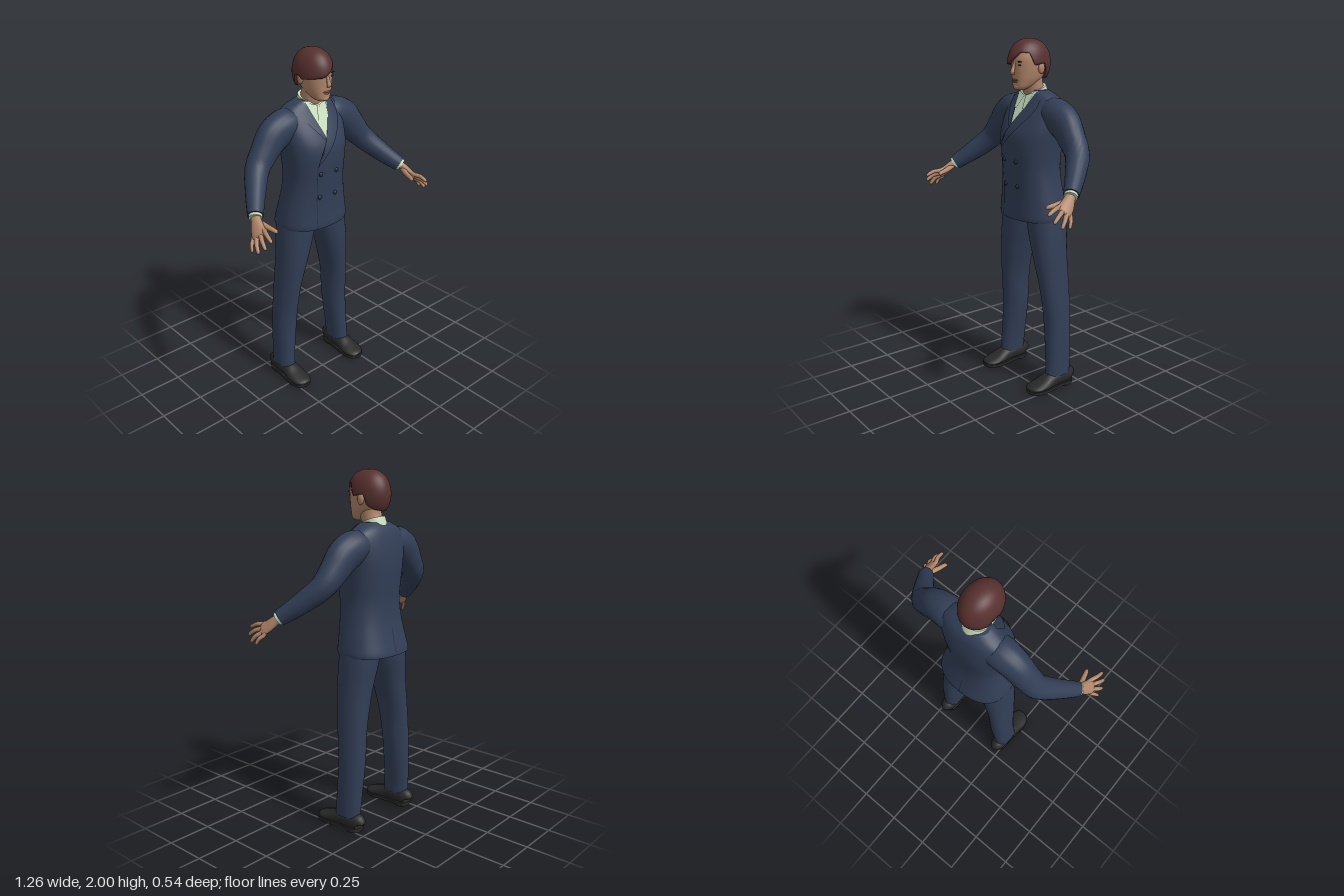
import * as THREE from 'three';

const mat = (name, color, side = THREE.FrontSide) => {
  const m = new THREE.MeshStandardMaterial({ color, side });
  m.name = name;
  return m;
};
const suit = mat('navy suit', 0x323e56, THREE.DoubleSide);
const seam = mat('dark navy seam', 0x232b3d, THREE.DoubleSide);
const skin = mat('skin', 0xb08569);
const hairMat = mat('auburn hair', 0x57302f, THREE.DoubleSide);
const shirt = mat('pale green shirt', 0xc6dabb, THREE.DoubleSide);
const leather = mat('black leather', 0x282828);
const dark = mat('dark eyes', 0x2a1f1c);
const lip = mat('lips', 0x8f5f4f);

// Smoothly subdivides rows of numbers, column by column
function refine(rows, k = 5) {
  const out = [], n = rows.length - 1;
  for (let i = 0; i < n; i++) for (let j = 0; j < k; j++) {
    const t = j / k, [a, b, c, d] = [rows[Math.max(i - 1, 0)], rows[i], rows[i + 1], rows[Math.min(i + 2, n)]];
    out.push(b.map((_, q) => b[q] + 0.5 * t * (c[q] - a[q] + t * (2 * a[q] - 5 * b[q] + 4 * c[q] - d[q]
      + t * (3 * (b[q] - c[q]) + d[q] - a[q])))));
  }
  out.push(rows[n]);
  return out;
}

// Skins closed rings of points; both ends get flat caps
function skinRings(rings) {
  const n = rings[0].length, pos = [], idx = [];
  rings.forEach(r => r.forEach(p => pos.push(p.x, p.y, p.z)));
  for (let i = 0; i < rings.length - 1; i++) for (let j = 0; j < n; j++) {
    const a = i * n + j, b = i * n + (j + 1) % n;
    idx.push(a, b, b + n, a, b + n, a + n);
  }
  for (const last of [false, true]) {
    const ring = rings[last ? rings.length - 1 : 0], base = pos.length / 3;
    const c = ring.reduce((s, p) => s.add(p), new THREE.Vector3()).divideScalar(n);
    [...ring, c].forEach(p => pos.push(p.x, p.y, p.z));
    for (let j = 0; j < n; j++) {
      const k = (j + 1) % n;
      idx.push(base + (last ? j : k), base + (last ? k : j), base + n);
    }
  }
  return geometry(pos, idx);
}
function geometry(pos, idx) {
  const g = new THREE.BufferGeometry();
  g.setAttribute('position', new THREE.Float32BufferAttribute(pos, 3));
  g.setIndex(idx);
  g.computeVertexNormals();
  return g;
}
const pw = (v, e) => Math.sign(v) * Math.abs(v) ** (2 / e);

// Horizontal sections: [y, centre x, front z, back z, half width]
function stack(rows, e = 2, n = 40) {
  return skinRings(rows.map(([y, x, f, b, rx]) => Array.from({ length: n }, (_, j) => {
    const a = j / n * Math.PI * 2;
    return new THREE.Vector3(x + rx * pw(Math.sin(a), e), y, (f + b) / 2 + (f - b) / 2 * pw(Math.cos(a), e));
  })));
}

// Sections along a path: [x, y, z, half width, half thickness]
function sweep(rows, ref = [0, 1, 0], n = 20) {
  const r = refine(rows), P = r.map(q => new THREE.Vector3(q[0], q[1], q[2]));
  return skinRings(P.map((p, i) => {
    const d = P[Math.min(i + 1, P.length - 1)].clone().sub(P[Math.max(i - 1, 0)]).normalize();
    const v = new THREE.Vector3(...ref);
    v.addScaledVector(d, -v.dot(d)).normalize();
    const u = d.clone().cross(v);
    return Array.from({ length: n }, (_, j) => {
      const a = j / n * Math.PI * 2;
      return p.clone().addScaledVector(u, Math.sin(a) * r[i][3]).addScaledVector(v, Math.cos(a) * r[i][4]);
    });
  }));
}

// Jacket body sections and a lookup of its surface
const TORSO_E = 2.4;
const torso = refine([
  [1.005, 0, 0.053, -0.272, 0.215], [1.03, 0, 0.055, -0.268, 0.217], [1.1, 0, 0.052, -0.25, 0.205],
  [1.2, 0, 0.053, -0.23, 0.186], [1.3, 0, 0.06, -0.223, 0.175], [1.4, 0, 0.068, -0.23, 0.181],
  [1.48, 0, 0.064, -0.235, 0.19], [1.55, 0, 0.036, -0.232, 0.198], [1.62, 0, -0.005, -0.221, 0.198],
  [1.67, 0, -0.035, -0.207, 0.178], [1.7, 0, -0.05, -0.19, 0.14], [1.725, 0, -0.06, -0.165, 0.085]]);
function surfaceZ(x, y, front = true) {
  let i = 0;
  while (i < torso.length - 2 && torso[i + 1][0] < y) i++;
  const t = (y - torso[i][0]) / (torso[i + 1][0] - torso[i][0]);
  const [, , f, b, rx] = torso[i].map((v, q) => v + (torso[i + 1][q] - v) * t);
  const k = (1 - Math.min(Math.abs(x / rx), 0.97) ** TORSO_E) ** (1 / TORSO_E);
  return (f + b) / 2 + (front ? 1 : -1) * (f - b) / 2 * k;
}
// Thin cloth lying on the jacket between a left and a right edge, listed downwards
function cloth(left, right, off, front = true) {
  const L = refine(left, 8), R = refine(right, 8), n = 8, pos = [], idx = [];
  L.forEach((l, i) => {
    for (let j = 0; j <= n; j++) {
      const x = l[0] + (R[i][0] - l[0]) * j / n, y = l[1] + (R[i][1] - l[1]) * j / n;
      pos.push(x, y, surfaceZ(x, y, front) + (front ? off : -off));
      if (i && j) {
        const a = (i - 1) * (n + 1) + j - 1, b = a + n + 1;
        if (front) idx.push(a, b, b + 1, a, b + 1, a + 1);
        else idx.push(a, b + 1, b, a, a + 1, b + 1);
      }
    }
  });
  return geometry(pos, idx);
}

// Hair shell with a hairline that varies around the head
function hairGeometry() {
  const line = [[-180, 1.78], [-140, 1.79], [-116, 1.81], [-106, 1.87], [-92, 1.87], [-80, 1.85], [-45, 1.86],
    [-15, 1.868], [10, 1.895], [35, 1.93], [60, 1.925], [76, 1.86], [92, 1.868], [106, 1.87], [116, 1.81],
    [140, 1.79], [180, 1.78]];
  const n = 72, m = 16, pos = [], idx = [];
  for (let i = 0; i <= m + 1; i++) for (let j = 0; j < n; j++) {
    const deg = j / n * 360 - 180, a = deg * Math.PI / 180;
    const k = Math.max(1, line.findIndex(l => l[0] >= deg)), [p, q] = [line[k - 1], line[k]];
    const low = p[1] + (q[1] - p[1]) * (deg - p[0]) / (q[0] - p[0]);
    const phi = Math.acos((low - 1.87) / 0.13) * Math.min(i, m) / m;
    const w = Math.sin(phi) ** 0.85 * (i > m ? 0.83 : 1);
    pos.push(-0.006 + 0.099 * w * Math.sin(a), 1.87 + 0.13 * Math.cos(phi), -0.07 + 0.13 * w * Math.cos(a));
    if (i) {
      const c = i * n + j, d = i * n + (j + 1) % n;
      idx.push(c, d, d - n, c, d - n, c - n);
    }
  }
  return geometry(pos, idx);
}

export function createModel() {
  const model = new THREE.Group();
  const add = (name, geo, material) => {
    const mesh = new THREE.Mesh(geo, material);
    mesh.name = name;
    model.add(mesh);
    return mesh;
  };
  const ball = (name, material, [x, y, z], [a, b, c]) =>
    add(name, new THREE.SphereGeometry(1, 20, 14).scale(a, b, c).translate(x, y, z), material);

  // Jacket, shirt front and lapels
  add('jacket', stack(torso, TORSO_E, 56), suit);
  add('shirtFront', cloth([[-0.075, 1.718], [-0.05, 1.64], [-0.016, 1.54]],
    [[0.08, 1.718], [0.042, 1.64], [-0.014, 1.54]], 0.004), shirt);
  add('rightLapel', cloth([[-0.1, 1.71], [-0.11, 1.64], [-0.03, 1.53]],
    [[-0.07, 1.718], [-0.048, 1.64], [-0.015, 1.535]], 0.008), suit);
  add('leftLapel', cloth([[0.074, 1.718], [0.04, 1.64], [-0.017, 1.54], [-0.087, 1.4]],
    [[0.11, 1.71], [0.12, 1.63], [0.05, 1.53], [-0.08, 1.4]], 0.009), suit);
  add('lapelEdge', cloth([[-0.017, 1.54], [-0.066, 1.46], [-0.088, 1.39]],
    [[-0.013, 1.535], [-0.062, 1.456], [-0.084, 1.39]], 0.0095), seam);
  add('frontEdge', cloth([[-0.088, 1.39], [-0.085, 1.2], [-0.085, 1.01]],
    [[-0.084, 1.39], [-0.081, 1.2], [-0.081, 1.01]], 0.003), seam);
  add('backVent', cloth([[-0.002, 1.15], [-0.003, 1.01]], [[0.002, 1.15], [0.003, 1.01]], 0.003, false), seam);
  for (const x of [-0.065, 0.045]) for (const y of [1.34, 1.2])
    ball('button', seam, [x, y, surfaceZ(x, y) + 0.002], [0.013, 0.013, 0.008]);

  // Shirt collar and neck
  add('collarBand', sweep([[0, 1.66, -0.13, 0.07, 0.066], [0, 1.735, -0.105, 0.068, 0.064]], [0, 0, 1], 32), shirt);
  add('rightCollar', cloth([[-0.066, 1.716], [-0.045, 1.63]], [[-0.004, 1.695], [-0.03, 1.625]], 0.011), shirt);
  add('leftCollar', cloth([[0.004, 1.695], [0.025, 1.625]], [[0.066, 1.716], [0.04, 1.63]], 0.011), shirt);
  add('neck', sweep([[0, 1.66, -0.12, 0.06, 0.06], [0, 1.75, -0.09, 0.058, 0.058], [0, 1.83, -0.08, 0.06, 0.062]],
    [0, 0, 1], 32), skin);

  // Head and face
  add('head', stack(refine([[1.727, 0, 0.014, -0.03, 0.018], [1.74, 0, 0.03, -0.055, 0.042],
    [1.77, 0, 0.033, -0.11, 0.061], [1.8, 0, 0.035, -0.145, 0.072], [1.85, 0, 0.037, -0.172, 0.081],
    [1.9, 0, 0.036, -0.178, 0.083], [1.95, 0, 0.01, -0.16, 0.07], [1.98, 0, -0.04, -0.11, 0.03]]), 2.25), skin);
  add('nose', sweep([[0, 1.875, 0.034, 0.007, 0.006], [0, 1.845, 0.044, 0.009, 0.01],
    [0, 1.822, 0.051, 0.014, 0.01], [0, 1.812, 0.044, 0.01, 0.006]], [0, 0, 1]), skin);
  ball('upperLip', lip, [0, 1.782, 0.033], [0.026, 0.005, 0.006]);
  ball('lowerLip', lip, [0, 1.773, 0.032], [0.02, 0.005, 0.006]);
  ball('chin', skin, [0, 1.745, 0.018], [0.026, 0.016, 0.016]);
  for (const s of [-1, 1]) {
    ball('eye', dark, [s * 0.035, 1.862, 0.029], [0.014, 0.005, 0.004]);
    ball('eyebrow', dark, [s * 0.036, 1.88, 0.03], [0.019, 0.004, 0.005]);
    ball('ear', skin, [s * 0.083, 1.845, -0.085], [0.013, 0.031, 0.021]);
  }
  add('hair', hairGeometry(), hairMat);

  for (const s of [-1, 1]) {
    const side = s > 0 ? 'left' : 'right';
    const flip = rows => rows.map(([x, ...r]) => [x * s, ...r]);
    const limb = (name, rows, material, ref) => add(side + name, sweep(flip(rows), ref), material);

    // Sleeve and shirt cuff
    limb('Sleeve', [[0.1, 1.605, -0.12, 0.08, 0.075], [0.17, 1.6, -0.115, 0.088, 0.092],
      [0.25, 1.56, -0.112, 0.08, 0.096], [0.32, 1.485, -0.105, 0.072, 0.081], [0.385, 1.41, -0.085, 0.066, 0.067],
      [0.46, 1.325, -0.005, 0.054, 0.056], [0.53, 1.252, 0.082, 0.042, 0.044]], suit);
    limb('Cuff', [[0.515, 1.268, 0.063, 0.037, 0.037], [0.537, 1.244, 0.092, 0.036, 0.036]], shirt);

    // Hand: palm, four fingers and thumb
    const back = [7.5 * s, 5.5, 1.2];
    limb('Palm', [[0.52, 1.262, 0.07, 0.027, 0.023], [0.54, 1.238, 0.1, 0.029, 0.022],
      [0.558, 1.207, 0.135, 0.039, 0.02], [0.573, 1.185, 0.165, 0.041, 0.016], [0.577, 1.178, 0.175, 0.03, 0.008]],
      skin, back);
    const fingers = [[[0.55, 1.212, 0.175], [0.572, 1.183, 0.268]], [[0.569, 1.193, 0.17], [0.6, 1.146, 0.253]],
      [[0.585, 1.175, 0.158], [0.618, 1.116, 0.217]], [[0.592, 1.163, 0.138], [0.624, 1.11, 0.172]],
      [[0.53, 1.225, 0.115], [0.498, 1.197, 0.222]]];
    fingers.forEach(([a, b], i) => {
      const thumb = i === 4, r = thumb ? 0.014 : i === 3 ? 0.01 : 0.0115;
      const at = (t, k, bend = 0) => [...a.map((v, q) => v + (b[q] - v) * t + [0.6, 0.8, 0][q] * bend), r * k, r * k];
      limb(thumb ? 'Thumb' : 'Finger', [at(-0.15, 0.9), at(0.15, 1.1), at(0.5, 1, thumb ? 0 : 0.008),
        at(0.85, 0.85, 0.003), at(0.96, 0.6), at(1, 0.15)], skin, back);
    });

    // Trouser leg
    add(side + 'TrouserLeg', stack(refine([[0.085, 0.22, -0.03, -0.19, 0.054], [0.18, 0.215, -0.036, -0.196, 0.057],
      [0.4, 0.198, -0.04, -0.204, 0.067], [0.6, 0.183, -0.02, -0.204, 0.068], [0.8, 0.151, 0.003, -0.205, 0.086],
      [0.95, 0.122, 0.01, -0.218, 0.103], [1.06, 0.105, 0.01, -0.22, 0.106]].map(([y, x, ...r]) => [y, x * s, ...r])),
      2.1), suit);

    // Shoe: upper, sole and heel
    limb('Shoe', [[0.22, 0.045, -0.206, 0.022, 0.025], [0.22, 0.054, -0.195, 0.042, 0.046],
      [0.22, 0.06, -0.13, 0.05, 0.052], [0.22, 0.056, -0.06, 0.052, 0.048], [0.22, 0.043, 0, 0.059, 0.034],
      [0.218, 0.036, 0.05, 0.059, 0.024], [0.216, 0.032, 0.085, 0.043, 0.017], [0.216, 0.028, 0.1, 0.02, 0.009]], leather);
    const outline = new THREE.Shape(new THREE.SplineCurve([[0, -0.104], [0.046, -0.085], [0.063, -0.03], [0.06, 0.02],
      [0.05, 0.1], [0.047, 0.185], [0, 0.208], [-0.047, 0.185], [-0.05, 0.1], [-0.06, 0.02], [-0.063, -0.03],
      [-0.046, -0.085], [0, -0.104]].map(p => new THREE.Vector2(...p))).getPoints(48));
    const sole = new THREE.ExtrudeGeometry(outline, { depth: 0.018, bevelEnabled: false });
    add(side + 'Sole', sole.rotateX(-Math.PI / 2).translate(0.219 * s, 0.01, 0), leather);
    add(side + 'Heel', new THREE.CylinderGeometry(0.046, 0.046, 0.02, 24).translate(0.22 * s, 0.01, -0.158), leather);
    add(side + 'Tread', new THREE.CylinderGeometry(0.05, 0.048, 0.015, 24).translate(0.219 * s, 0.0075, 0.025), leather);
  }
  return model;
}
